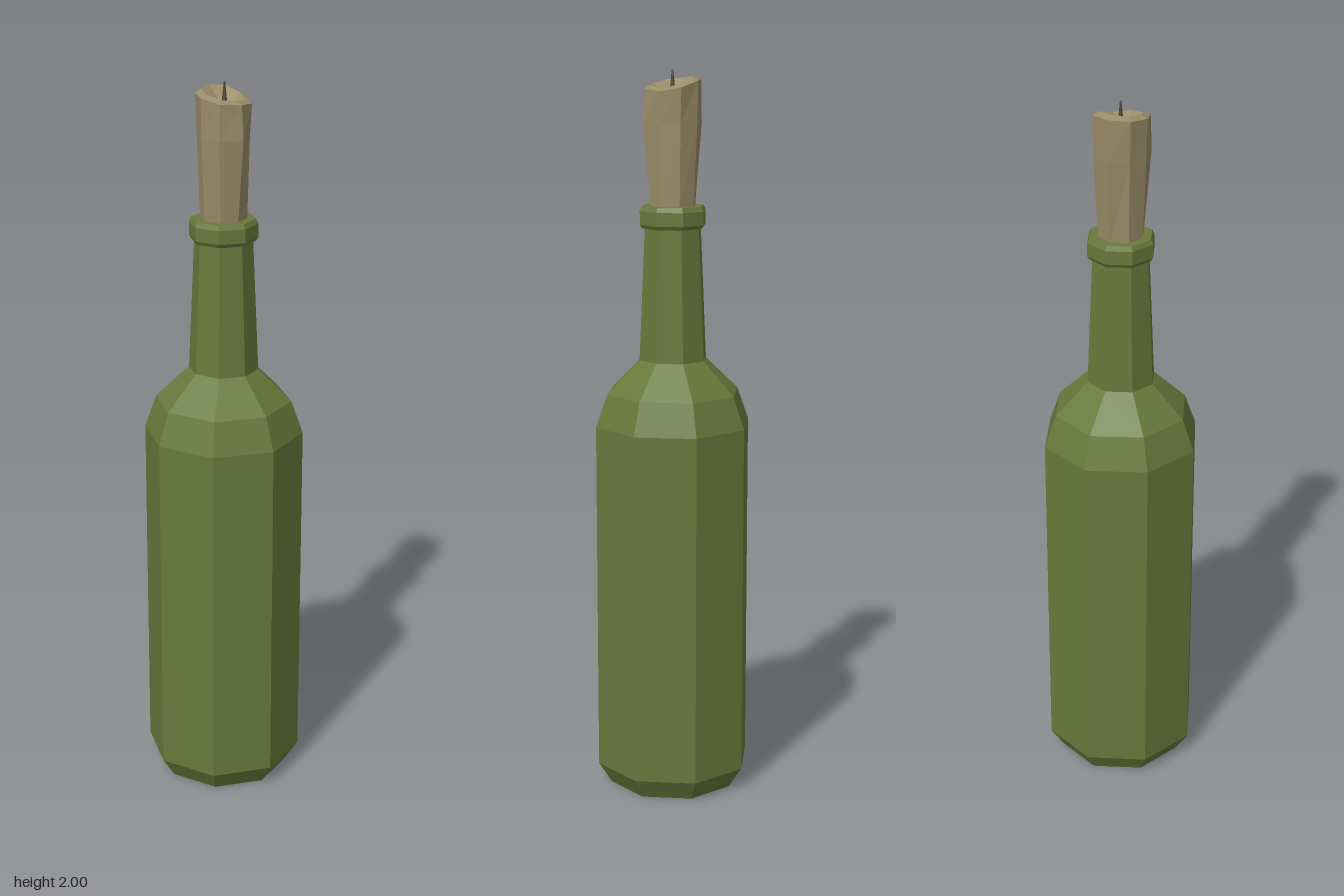
import * as THREE from 'three';

const SIDES = 8;
const CORNER = 1 / Math.cos(Math.PI / SIDES); // flat-to-centre distance -> corner radius

export function createModel() {
  const group = new THREE.Group();
  const mat = (name, color, extra = {}) => {
    const m = new THREE.MeshStandardMaterial({ color, flatShading: true, ...extra });
    m.name = name;
    return m;
  };
  const glass = mat('green glass', 0x69793b);
  const stopperMat = mat('tan stopper', 0x998c68);
  const wickMat = mat('dark wick', 0x4f4838);

  const add = (name, geometry, material) => {
    const mesh = new THREE.Mesh(geometry, material);
    mesh.name = name;
    group.add(mesh);
    return mesh;
  };
  // Octagonal lathe with flats facing the axes; profile is [flat distance, height]
  const octLathe = (profile) => new THREE.LatheGeometry(
    profile.map(([r, y]) => new THREE.Vector2(r * CORNER, y)), SIDES, Math.PI / SIDES);

  // Base, body, shoulder and neck
  add('bottle', octLathe([
    [0, 0], [0.168, 0], [0.203, 0.06], [0.203, 1.04],
    [0.173, 1.13], [0.088, 1.22], [0.073, 1.585],
  ]), glass);

  // Raised collar around the mouth
  add('lip', octLathe([
    [0.07, 1.58], [0.08, 1.58], [0.086, 1.59], [0.086, 1.627],
    [0.08, 1.64], [0.05, 1.64],
  ]), glass);

  // Irregular stopper: rings run around y, corner 0 at 22.5 degrees from +x toward +z
  const rimHeight = [1.945, 1.95, 1.955, 1.965, 1.97, 1.975, 1.972, 1.955];
  const rimRadius = [0.074, 0.077, 0.08, 0.075, 0.075, 0.079, 0.076, 0.077];
  const bulge = [0.069, 0.084, 0.083, 0.072, 0.071, 0.081, 0.074, 0.07];
  const rings = [
    (i) => [0.06, 1.58],
    (i) => [0.063, 1.64],
    (i) => [bulge[i], 1.86],
    (i) => [rimRadius[i], rimHeight[i]],
    (i) => [rimRadius[i] - 0.019, rimHeight[i] + 0.008],
    (i) => [0, 1.93],
  ];
  const positions = [];
  const index = [];
  rings.forEach((ring, k) => {
    for (let i = 0; i < SIDES; i++) {
      const [r, y] = ring(i);
      const a = (i + 0.5) * Math.PI * 2 / SIDES;
      positions.push(r * Math.cos(a), y, r * Math.sin(a));
      if (k === 0) continue;
      const j = (i + 1) % SIDES;
      const a0 = (k - 1) * SIDES + i, b0 = (k - 1) * SIDES + j;
      const a1 = k * SIDES + i, b1 = k * SIDES + j;
      index.push(a0, a1, b0);
      if (k < rings.length - 1) index.push(b0, a1, b1);
    }
  });
  const stopper = new THREE.BufferGeometry();
  stopper.setAttribute('position', new THREE.Float32BufferAttribute(positions, 3));
  stopper.setIndex(index);
  stopper.computeVertexNormals();
  add('stopper', stopper, stopperMat);

  // Small pointed wick rising from the hollow
  const wick = add('wick', new THREE.CylinderGeometry(0.002, 0.01, 0.08, 6), wickMat);
  wick.position.set(0.002, 1.96, 0.001);

  return group;
}
